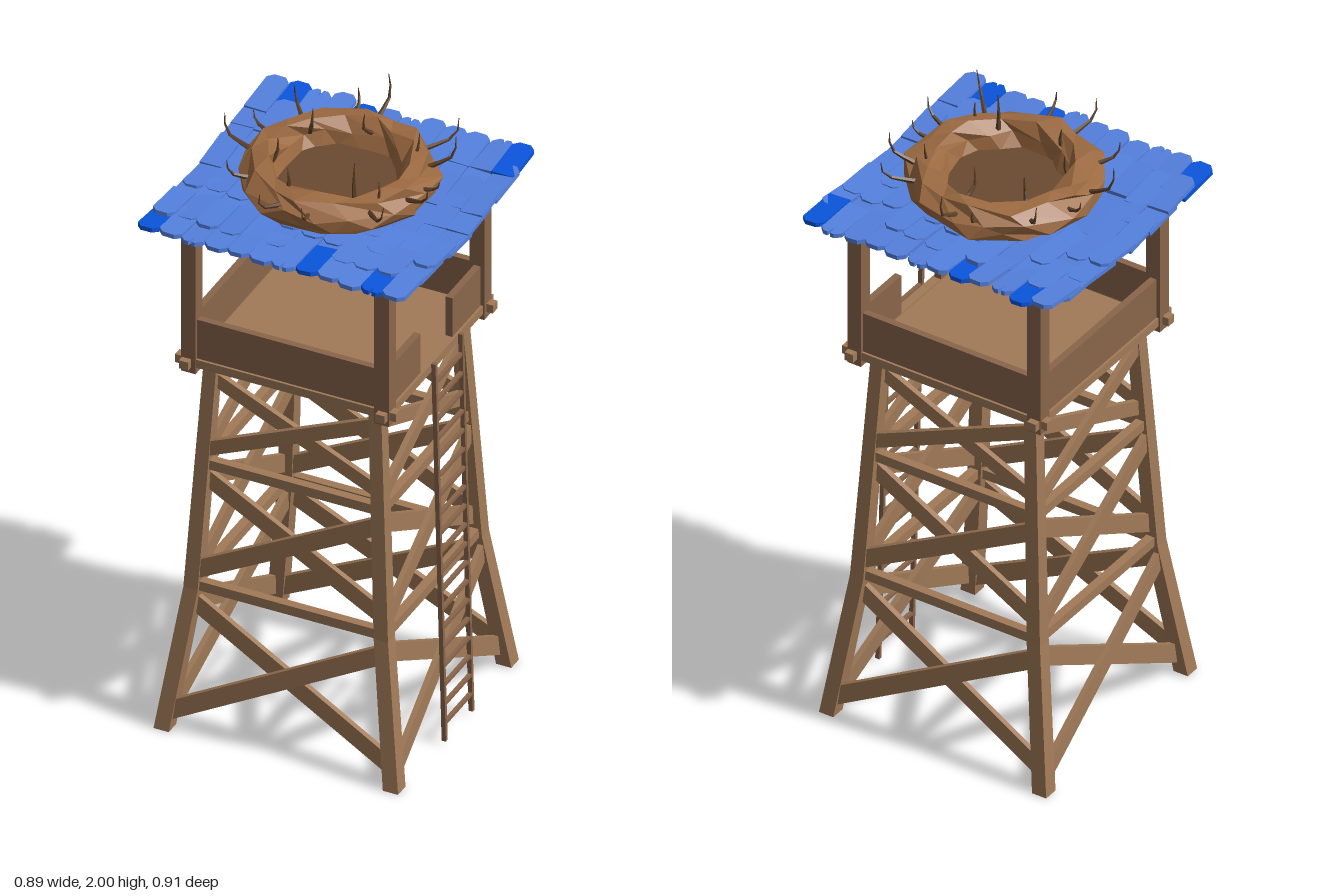
import * as THREE from 'three';

const mat = (color) => new THREE.MeshStandardMaterial({ color, flatShading: true });
const wood = mat(0xa17a58), darkWood = mat(0x8a664b), blue = mat(0x5480de), deepBlue = mat(0x0a55dd);
const nestMat = mat(0x9c6a41), nestFloorMat = mat(0x6b4a30), twigMat = mat(0x5e4229);
const V = (x, y, z) => new THREE.Vector3(x, y, z);

let seed = 7;
const rnd = (a = -1, b = 1) => {
  seed = (seed * 16807) % 2147483647;
  return a + (b - a) * (seed / 2147483647);
};

function add(parent, name, geometry, material, x = 0, y = 0, z = 0) {
  const m = new THREE.Mesh(geometry, material);
  m.name = name;
  m.position.set(x, y, z);
  parent.add(m);
  return m;
}
const box = (parent, name, w, h, d, x, y, z, material = wood) =>
  add(parent, name, new THREE.BoxGeometry(w, h, d), material, x, y, z);

// Plank from a to b: w across the face, t in depth
function beam(parent, name, a, b, w, t, material = wood) {
  const dir = b.clone().sub(a), len = dir.length();
  dir.normalize();
  const side = V(0, 0, 1).cross(dir).normalize();
  const out = dir.clone().cross(side);
  const m = add(parent, name, new THREE.BoxGeometry(len, w, t), material);
  m.quaternion.setFromRotationMatrix(new THREE.Matrix4().makeBasis(dir, side, out));
  m.position.copy(a).add(b).multiplyScalar(0.5);
}

// Half spacing of the legs at a height
const KNEE = 0.48, TOP = 1.26;
const spread = (y) => y < KNEE ? 0.376 - 0.064 * y / KNEE : 0.312 - 0.042 * (y - KNEE) / (TOP - KNEE);

function buildLegs(g) {
  for (const sx of [-1, 1]) for (const sz of [-1, 1]) {
    const geo = new THREE.BoxGeometry(1, TOP, 1, 1, 2, 1).translate(0, TOP / 2, 0);
    const p = geo.attributes.position;
    for (let i = 0; i < p.count; i++) {
      const y = Math.abs(p.getY(i) - TOP / 2) < 0.01 ? KNEE : p.getY(i);
      const w = 0.05 - 0.008 * y / TOP;
      p.setXYZ(i, sx * spread(y) + p.getX(i) * w, y, sz * spread(y) + p.getZ(i) * w);
    }
    add(g, 'leg', geo, wood);
    box(g, 'post', 0.048, 0.53, 0.048, sx * 0.317, 1.51, sz * 0.317, darkWood);
  }
}

// One side of the tower: cross braces, rails, deck edge and parapet
function buildSide(open) {
  const s = new THREE.Group();
  s.name = 'towerSide';
  for (const [y0, y1, w] of [[0.06, 0.43, 0.058], [0.54, 0.86, 0.056], [0.96, 1.2, 0.046]])
    for (const k of [-1, 1])
      beam(s, 'brace', V(-k * spread(y0), y0, spread(y0) + k * 0.009),
        V(k * spread(y1), y1, spread(y1) + k * 0.009), w, 0.018);
  for (const y of [0.49, 0.91])
    box(s, 'rail', spread(y) * 2, 0.032, 0.028, 0, y, spread(y));
  box(s, 'deckBeam', 0.724, 0.028, 0.03, 0, 1.28, 0.322);
  box(s, 'deckJoist', 0.6, 0.03, 0.03, 0, 1.262, 0.275);
  if (open) for (const k of [-1, 1])
    box(s, 'parapet', 0.195, 0.165, 0.022, k * 0.2025, 1.348, 0.318, darkWood);
  else box(s, 'parapet', 0.6, 0.165, 0.022, 0, 1.348, 0.318, darkWood);
  return s;
}

function buildLadder(g) {
  const l = new THREE.Group();
  l.name = 'ladder';
  const xAt = (y) => 0.402 - 0.026 * y;
  for (const z of [-0.085, 0.093])
    beam(l, 'ladderRail', V(xAt(0.01), 0.01, z), V(xAt(1.33), 1.33, z), 0.014, 0.012, darkWood);
  for (let i = 0; i < 19; i++) {
    const y = 0.07 + i * 0.0662;
    box(l, 'rung', 0.012, 0.011, 0.178, xAt(y), y, 0.004, darkWood);
  }
  g.add(l);
}

// Shingle with clipped outer corners and an optional notch, outer edge toward +y of the shape
function shingle(w, len, notch) {
  const h = w / 2, c = 0.018;
  const pts = [[-h, 0], [h, 0], [h, len - c], [h - c, len]];
  if (notch) pts.push([0.006, len], [0.002, len - 0.03], [-0.004, len]);
  pts.push([-h + c, len], [-h, len - c]);
  const shape = new THREE.Shape(pts.map(([x, y]) => new THREE.Vector2(x, y)));
  return new THREE.ExtrudeGeometry(shape, { depth: 0.014, bevelEnabled: false }).rotateX(Math.PI / 2);
}

function buildRoof(g) {
  const roof = new THREE.Group();
  roof.name = 'shingleRoof';
  const dark = { '-1': [1, 4, 11], 1: [0, 7, 10] };
  for (const side of [-1, 1]) {
    const half = new THREE.Group();
    half.name = 'roofHalf';
    half.rotation.y = side > 0 ? 0 : Math.PI;
    for (let row = 0; row < 4; row++) for (let col = 0; col < 12; col++) {
      const edge = row === 3;
      const m = add(half, 'shingle', shingle(0.0725 + rnd() * 0.002, 0.165, edge && col % 4 === 2),
        edge && dark[side].includes(col) ? deepBlue : blue);
      const x = side * (-0.4033 + col * 0.07333);
      m.position.set(x, 1.757 + row * 0.007 + rnd() * 0.006, -0.015 + row * 0.099 + rnd() * 0.009);
      m.rotation.set(-0.07 + rnd() * 0.05, rnd() * 0.03, rnd() * 0.06);
    }
    roof.add(half);
  }
  g.add(roof);
}

function buildNest(g) {
  const nest = new THREE.Group();
  nest.name = 'nest';
  nest.position.set(0.008, 0, -0.003);
  // Lumpy ring, twisted so the facets run diagonally
  const profile = [[0.17, 1.79], [0.255, 1.79], [0.295, 1.825], [0.297, 1.86], [0.262, 1.897],
    [0.218, 1.902], [0.19, 1.865], [0.17, 1.815]];
  const geo = new THREE.LatheGeometry(profile.map(([r, y]) => new THREE.Vector2(r, y)), 15);
  const p = geo.attributes.position;
  for (let i = 0; i < p.count; i++) {
    const x = p.getX(i), y = p.getY(i), z = p.getZ(i);
    const r = Math.hypot(x, z), a = Math.atan2(x, z), k = i % profile.length;
    const lump = Math.sin(a * 5 + k * 2.1) * 0.009 + Math.sin(a * 7 - k * 1.3) * 0.007;
    const a2 = a + (k % 2) * 0.2 + Math.sin(a * 4 + k) * 0.07;
    const dy = k < 2 ? 0 : Math.sin(a * 6 + k * 1.7) * 0.007;
    p.setXYZ(i, Math.sin(a2) * (r + lump), y + dy, Math.cos(a2) * (r + lump));
  }
  const ring = add(nest, 'nestRing', geo, nestMat);
  ring.material.side = THREE.DoubleSide;
  add(nest, 'nestFloor', new THREE.CylinderGeometry(0.205, 0.2, 0.03, 15), nestFloorMat, 0, 1.81, 0);

  // Twig tips: x, y, z; each bends up out of the ring
  const tips = [[-0.32, 1.92, -0.08], [-0.25, 1.95, -0.21], [-0.09, 1.93, -0.31], [-0.01, 1.98, -0.35],
    [0.26, 1.95, -0.27], [0.31, 1.97, -0.15], [0.335, 1.91, 0.01], [0.34, 1.94, 0.1], [0.28, 1.96, 0.27],
    [0.045, 1.93, 0.34], [-0.085, 1.95, 0.355], [-0.26, 1.94, 0.22], [-0.35, 1.98, 0.05],
    [0.01, 1.96, -0.15], [-0.14, 1.96, -0.11], [-0.17, 1.95, 0.06], [0.125, 2.0, 0.15],
    [0.2, 1.95, 0.14], [0.2, 1.96, -0.13], [-0.08, 1.94, 0.18]];
  for (const [x, y, z] of tips) {
    const r = Math.hypot(x, z), r0 = r > 0.25 ? 0.265 : 0.2;
    const base = V(x / r * r0, 1.865, z / r * r0), tip = V(x, y, z);
    const mid = V(x * 0.9 + base.x * 0.1 + rnd() * 0.008, 1.865 + (y - 1.865) * 0.4, z * 0.9 + base.z * 0.1 + rnd() * 0.008);
    const curve = new THREE.CatmullRomCurve3([base, mid, tip]);
    const tube = new THREE.TubeGeometry(curve, 4, 0.009, 5);
    const q = tube.attributes.position, v = V(0, 0, 0);
    // Taper each ring of the tube toward the tip
    for (let i = 0; i < q.count; i++) {
      const t = Math.floor(i / 6) / 4;
      v.fromBufferAttribute(q, i).lerp(curve.getPointAt(t), t * 0.88);
      q.setXYZ(i, v.x, v.y, v.z);
    }
    add(nest, 'twig', tube, twigMat);
  }
  g.add(nest);
}

export function createModel() {
  const g = new THREE.Group();
  g.name = 'watchtower';
  buildLegs(g);
  for (let i = 0; i < 4; i++) {
    const side = buildSide(i === 1);
    side.rotation.y = i * Math.PI / 2;
    g.add(side);
  }
  box(g, 'deck', 0.64, 0.02, 0.64, 0, 1.28, 0);
  buildLadder(g);
  buildRoof(g);
  buildNest(g);
  return g;
}
